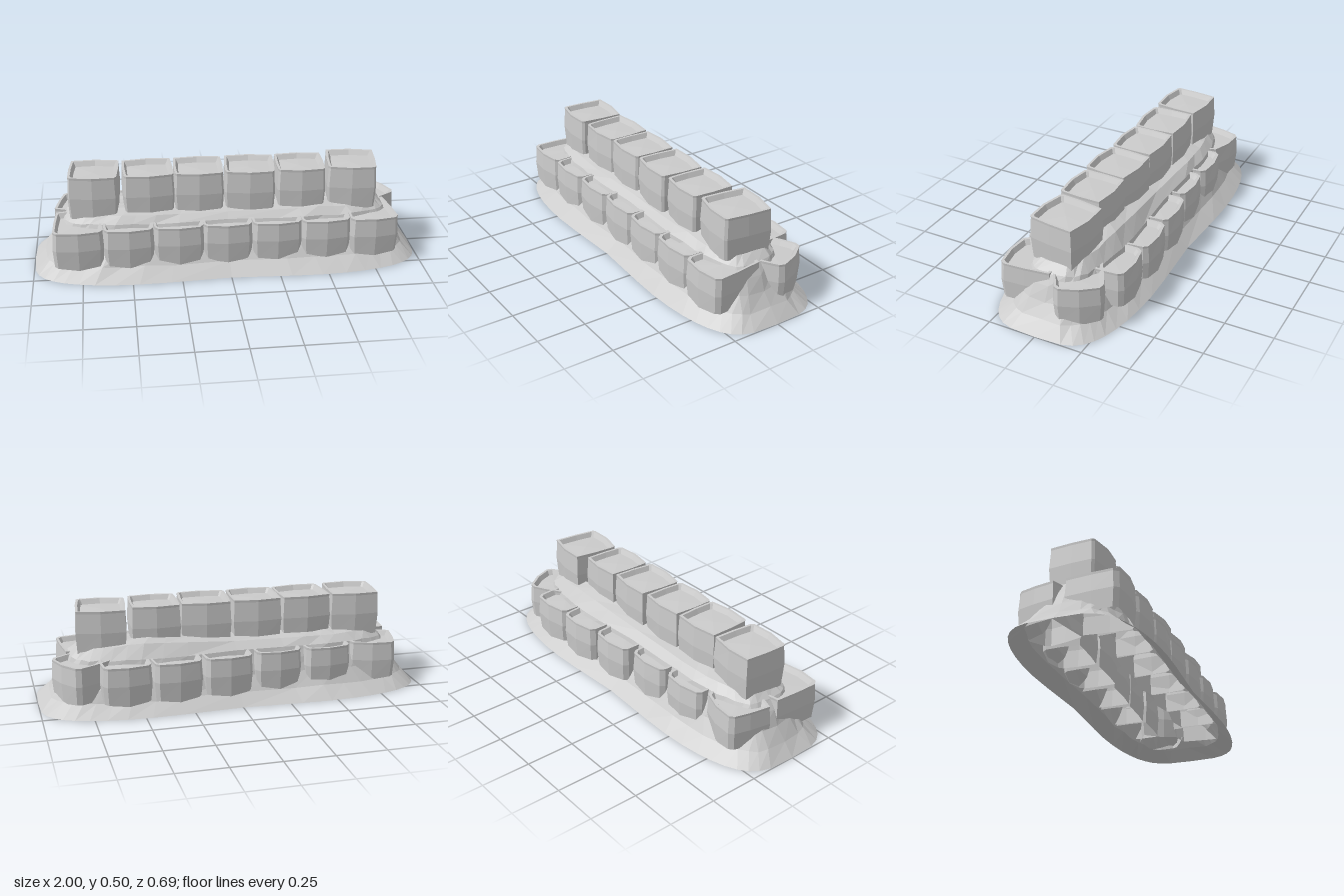
import * as THREE from 'three';

const material = new THREE.MeshStandardMaterial({ color: 0xcccccc, flatShading: true, side: THREE.DoubleSide });

// Skin a stack of closed rings, open at the start and closed on a centre point at the end.
function loft(name, rings, endPoint) {
  const n = rings[0].length;
  const index = [];
  rings.forEach((ring, i) => {
    for (let j = 0; j < n; j++) {
      const a = i * n + j, b = i * n + (j + 1) % n;
      if (i < rings.length - 1) index.push(a, a + n, b, b, a + n, b + n);
      else index.push(a, rings.length * n, b);
    }
  });
  const geometry = new THREE.BufferGeometry();
  geometry.setAttribute('position', new THREE.Float32BufferAttribute([...rings.flat(2), ...endPoint], 3));
  geometry.setIndex(index);
  geometry.computeVertexNormals();
  const mesh = new THREE.Mesh(geometry, material);
  mesh.name = name;
  return mesh;
}

// Small seeded noise in -1..1
const noise = (i, j) => {
  const s = Math.sin(i * 127.1 + j * 311.7) * 43758.5453;
  return 2 * (s - Math.floor(s)) - 1;
};

// Faceted block, open below, with bowed walls, chamfered outer corners, a bevelled rim
// and a sunken top. "taper" scales the width of the inner side.
function block(name, { x, z, w, d, rot, top, bottom, taper, chamfer }) {
  const out = Math.sign(z);
  const hw = w / 2, hd = d / 2, bow = 0.014;
  const side = hw * (1 + taper) / 2 + 0.004;
  // Half outline from the outer middle to the inner middle, then mirrored
  const half = [[hw - chamfer, hd], [hw, hd - 1.3 * chamfer], [side, 0], [hw * taper, -hd]];
  const outline = [
    [0, hd + bow], ...half, [0, -hd - bow], ...half.map(([px, pz]) => [-px, pz]).reverse(),
  ].map(([px, pz]) => [-px * out, pz * out]);
  // Turned outline at a height, shrunk by an inset, its middle points lowered by a sag
  const ring = (y, inset, sag = 0) => outline.map(([px, pz]) => {
    const qx = px * (1 - 2 * inset / w), qz = pz * (1 - 2 * inset / d);
    return [
      x + qx * Math.cos(rot) + qz * Math.sin(rot),
      y - (Math.abs(px) < 0.001 ? sag : 0),
      z - qx * Math.sin(rot) + qz * Math.cos(rot),
    ];
  });
  const rings = [
    ring(bottom, 0.003, 0.012), ring((top + bottom) / 2, -0.004),
    ring(top - 0.012, 0.001), ring(top, 0), ring(top, 0.012), ring(top - 0.025, 0.024),
  ];
  return loft(name, rings, [x, top - 0.021, z]);
}

// Hollow rocky mound, open underneath
function createMound() {
  const n = 44;
  const levels = [ // height, half length, half depth
    [0, 1, 0.36], [0.06, 0.94, 0.285], [0.13, 0.89, 0.24], [0.2, 0.86, 0.215],
    [0.255, 0.83, 0.198], [0.29, 0.79, 0.16], [0.306, 0.72, 0.09],
  ];
  const rings = levels.map(([y, hx, hz], i) => Array.from({ length: n }, (_, j) => {
    const t = (j / n) * Math.PI * 2;
    const c = Math.cos(t), s = Math.sin(t);
    const px = hx * Math.sign(c) * Math.abs(c) ** 0.6;
    let pz = hz * Math.sign(s) * Math.abs(s) ** 0.5;
    // Gentle waist, with a wider, higher shelf behind on the left half
    pz *= 1 - 0.09 * Math.exp(-((px / 0.35) ** 2));
    const swell = s < 0 ? Math.exp(-(((px - 0.45) / 0.25) ** 2)) : 0;
    if (i > 1 && i < 5) pz -= 0.015 * swell;
    const rough = i === 0 ? 0 : 0.005;
    const rise = i >= 5 ? 0.035 * swell : 0;
    return [px + rough * noise(i, j), y + rise + rough * noise(j, i), pz + rough * noise(i + 9, j)];
  }));
  return loft('mound', rings, [0, 0.31, 0]);
}

export function createModel() {
  const model = new THREE.Group();
  model.name = 'tieredBlockMound';
  model.add(createMound());

  const addRow = (name, shared, rows) => {
    const group = new THREE.Group();
    group.name = name;
    rows.forEach(([x, z, w, d, rot, taper = 1], i) => {
      group.add(block(`${name}Block${i + 1}`, { ...shared, x, z, w, d, rot, taper }));
    });
    model.add(group);
  };

  // Each block: x, z, width, depth, turn, taper
  addRow('upperRow', { top: 0.495, bottom: 0.27, chamfer: 0.01 }, [
    [-0.675, 0.005, 0.245, 0.23, -0.08], [-0.4, 0.012, 0.25, 0.22, 0.03], [-0.14, 0.012, 0.245, 0.22, -0.03],
    [0.125, 0.018, 0.25, 0.225, -0.08], [0.388, 0.02, 0.24, 0.22, -0.04], [0.662, 0.01, 0.245, 0.24, -0.13],
  ]);

  addRow('frontRow', { top: 0.262, bottom: 0.068, chamfer: 0.018 }, [
    [-0.768, 0.133, 0.25, 0.26, 0.02, 0.85], [-0.513, 0.163, 0.247, 0.2, 0.02], [-0.258, 0.158, 0.247, 0.2, 0],
    [-0.008, 0.156, 0.245, 0.2, -0.02], [0.243, 0.16, 0.247, 0.2, 0.02], [0.495, 0.162, 0.247, 0.2, 0.02],
    [0.743, 0.135, 0.247, 0.26, 0.04, 0.87],
  ]);

  addRow('backRow', { top: 0.257, bottom: 0.065, chamfer: 0.018 }, [
    [-0.748, -0.13, 0.235, 0.21, -0.23], [-0.475, -0.15, 0.235, 0.2, 0.05], [-0.21, -0.155, 0.235, 0.2, 0.02],
    [0.06, -0.183, 0.24, 0.2, 0.04], [0.325, -0.2, 0.24, 0.2, 0.06], [0.58, -0.2, 0.24, 0.2, 0.04],
    [0.79, -0.125, 0.23, 0.2, -1.05],
  ]);
  return model;
}
